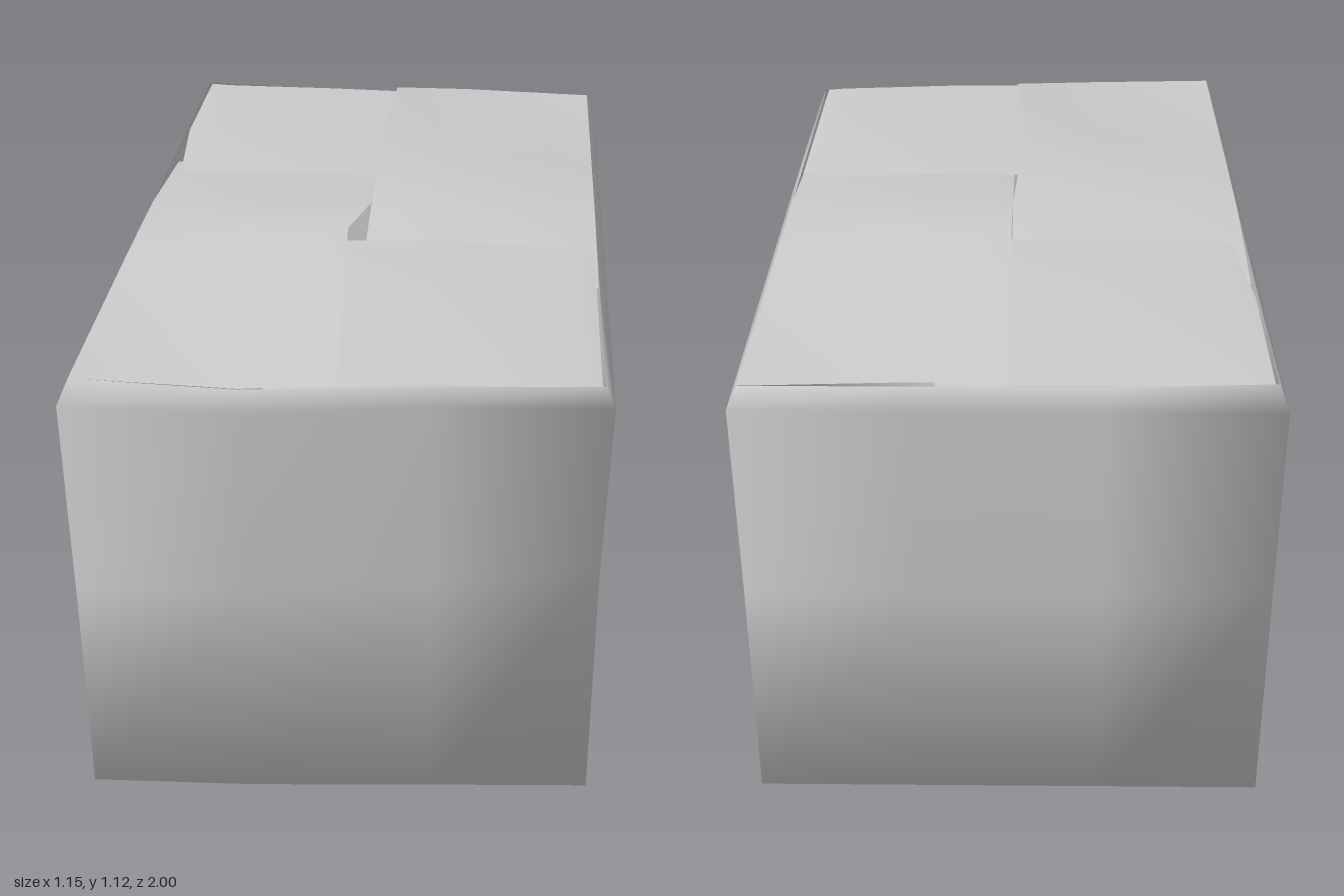
import * as THREE from 'three';

const material = new THREE.MeshStandardMaterial({ color: 0xcccccc, side: THREE.DoubleSide });

function makeMesh(name, positions, index) {
  const geometry = new THREE.BufferGeometry();
  geometry.setAttribute('position', new THREE.Float32BufferAttribute(positions, 3));
  geometry.setIndex(index);
  geometry.computeVertexNormals();
  const mesh = new THREE.Mesh(geometry, material);
  mesh.name = name;
  return mesh;
}

// Levels of the carton: height, half width, back z, and front z at four points from right to left
const levels = [
  { y: 0.01, w: 0.56, back: -0.975, front: [0.975, 0.965, 0.935, 0.91] },
  { y: 0.53, w: 0.568, back: -0.975, front: [0.975, 0.965, 0.9, 0.81] },
  { y: 0.985, w: 0.573, back: -1, front: [0.995, 1, 0.94, 0.92] },
  { y: 1.025, w: 0.552, back: -0.968, front: [0.965, 0.97, 0.925, 0.9] },
];

// One closed loop around the carton, counter-clockwise from above
function loop({ y, w, back, front }) {
  const xs = [-w, -0.2, 0.2, w];
  const points = xs.map((x, i) => [x, y, front[i]]);
  points.push([w, y, 0.4], [w, y, -0.4]);
  for (const x of [w, 0.2, -0.2, -w]) points.push([x, y, back]);
  points.push([-w, y, -0.4], [-w, y, 0.4]);
  if (y > 1) for (const p of points) if (p[0] < -0.5) p[1] += 0.01;
  return points;
}

// Soft-shaded walls with a dented front corner and a slightly bulging bottom
function carton() {
  const rings = levels.map(loop);
  const count = rings[0].length;
  rings.unshift(rings[0].map(([x, , z]) => [x * 0.55, 0.002, z * 0.6]));
  const positions = rings.flat(2);
  const index = [];
  for (let r = 0; r < rings.length - 1; r++) {
    for (let i = 0; i < count; i++) {
      const a = r * count + i, b = r * count + (i + 1) % count;
      index.push(a, b, b + count, a, b + count, a + count);
    }
  }
  const center = positions.length / 3;
  positions.push(0, 0, 0);
  for (let i = 0; i < count; i++) index.push(center, (i + 1) % count, i);
  return makeMesh('carton', positions, index);
}

// Flap as a grid of heights; rows run from back to front, columns from right to left
function flap(name, columns, rows) {
  const positions = [], index = [];
  const n = columns.length;
  rows.forEach(({ z, heights, shift = [] }, r) => {
    columns.forEach((x, c) => {
      positions.push(x + (shift[c] || 0), heights[c], Array.isArray(z) ? z[c] : z);
      if (r && c) {
        const d = r * n + c;
        index.push(d - n - 1, d - 1, d, d - n - 1, d, d - n);
      }
    });
  });
  return makeMesh(name, positions, index);
}

export function createModel() {
  const model = new THREE.Group();
  model.name = 'cardboardBox';
  model.add(carton());

  // Four flaps interlocked like a pinwheel, each tucked under the next
  model.add(flap('backLeftFlap', [0, 0.2, 0.552], [
    { z: -0.968, heights: [1.035, 1.035, 1.025] },
    { z: -0.32, heights: [1.11, 1.087, 1.028] },
    { z: 0.02, heights: [1.052, 1.045, 1.028] },
    { z: 0.35, heights: [1.0, 1.0, 1.0] },
  ]));
  model.add(flap('frontRightFlap', [-0.552, -0.2, 0], [
    { z: -0.4, heights: [1.0, 1.0, 1.0] },
    { z: -0.02, heights: [1.035, 1.045, 1.052] },
    { z: 0.32, heights: [1.038, 1.095, 1.12], shift: [0, 0, -0.03] },
    { z: [0.965, 0.97, 0.945], heights: [1.035, 1.027, 1.03] },
  ]));
  model.add(flap('frontLeftFlap', [-0.15, 0.2, 0.5, 0.545], [
    { z: [0.2, 0.19, 0.19, 0.22], heights: [1.035, 1.04, 1.034, 1.03] },
    { z: 0.5, heights: [1.03, 1.046, 1.036, 1.028] },
    { z: [0.96, 0.925, 0.905, 0.9], heights: [1.02, 1.03, 1.027, 1.025] },
  ]));
  model.add(flap('backRightFlap', [-0.545, -0.49, -0.2, 0.15], [
    { z: -0.965, heights: [1.033, 1.03, 1.028, 1.022] },
    { z: -0.55, heights: [1.036, 1.042, 1.048, 1.035] },
    { z: [-0.27, -0.232, -0.235, -0.23], heights: [1.035, 1.037, 1.042, 1.037], shift: [0.025, 0, 0, 0] },
  ]));
  return model;
}
